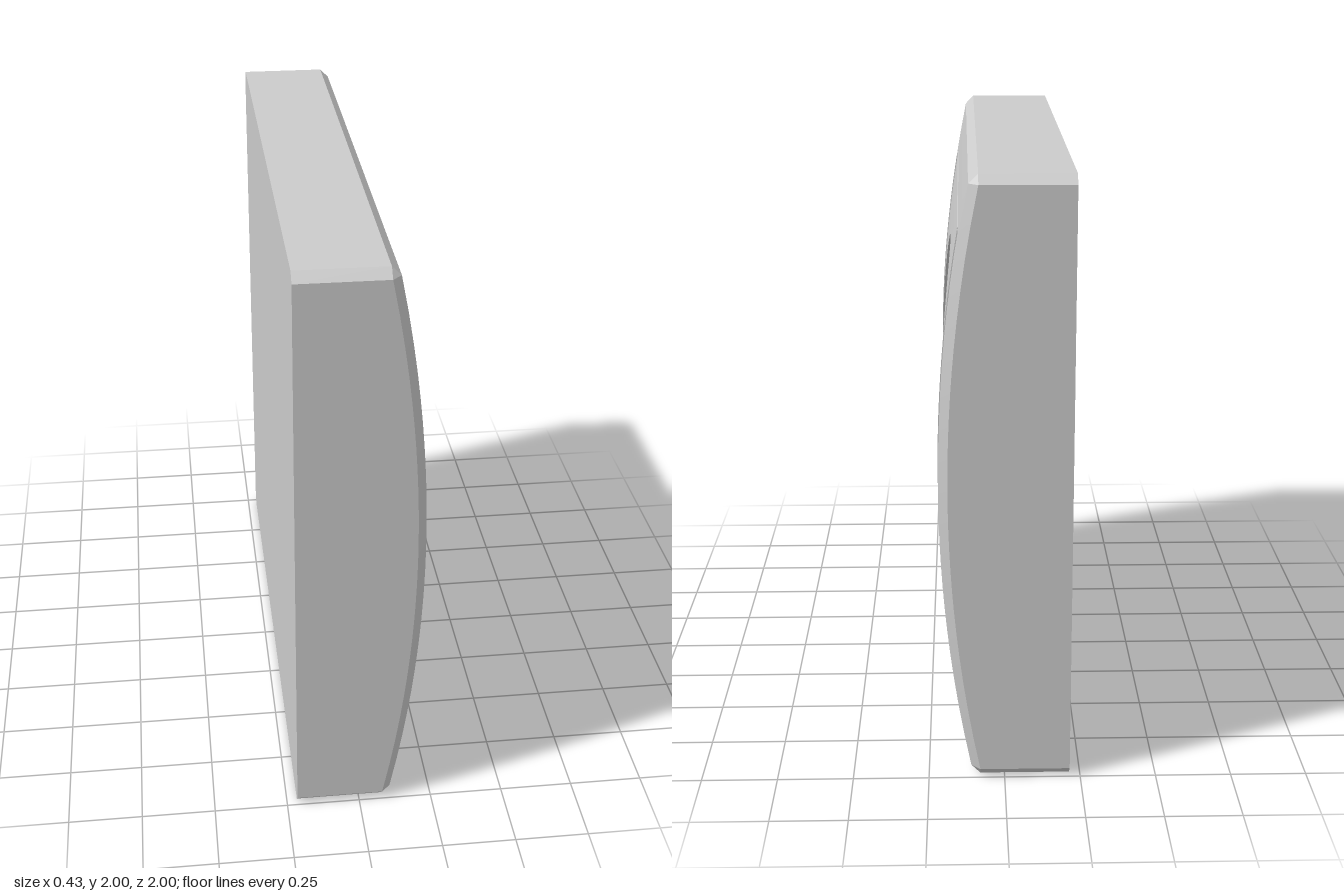
import * as THREE from 'three';
import { toCreasedNormals } from 'three/addons/utils/BufferGeometryUtils.js';

// The socket faces +x. Profiles use u (= -z) across and v (= y - 1) up.
const HALF = 0.97, BEVEL = 0.03, BACK = -0.215;
const RIM = 0.61, WELL = 0.595, LEDGE = 0.09, FLOOR = -0.13;
const PIN_R = 0.085, PIN_DEPTH = 0.05, PINS = [-0.257, 0.236];
const faceX = v => 0.21 - 0.1 * (v / HALF) ** 2;

const material = new THREE.MeshStandardMaterial({ color: 0xcccccc });

function add(group, name, geometry) {
  const mesh = new THREE.Mesh(geometry, material);
  mesh.name = name;
  group.add(mesh);
  return mesh;
}

// Turns a flat or extruded shape so that its front faces +x
function toFace(geometry, x) {
  return geometry.rotateY(Math.PI / 2).translate(x, 1, 0);
}

// One closed skin: recess wall, ledge, curved face, bevel, sides and back
function housingGeometry() {
  const STEPS = 24, base = [];
  for (let side = 0; side < 4; side++) {
    const c = [1, 0, -1, 0][side], s = [0, 1, 0, -1][side];
    for (let i = 0; i <= STEPS; i++) {
      const angle = (i / STEPS - 0.5) * Math.PI / 2;
      const t = HALF * Math.tan(angle);
      const turn = (p, q) => [p * c - q * s, p * s + q * c];
      base.push({
        square: turn(HALF, t),
        outer: turn(HALF + BEVEL, t),
        unit: turn(Math.cos(angle), Math.sin(angle)),
      });
    }
  }
  const point = (x, [u, v]) => [x, v + 1, -u];
  const circle = (r, x) => base.map(b => point(x, b.unit.map(k => k * r)));
  const loops = [circle(WELL, FLOOR), circle(WELL, LEDGE), circle(RIM, LEDGE)];
  for (let k = 0; k <= 6; k++) {
    loops.push(base.map(b => {
      const p = b.unit.map((n, j) => THREE.MathUtils.lerp(n * RIM, b.square[j], k / 6));
      return point(faceX(p[1]), p);
    }));
  }
  loops.push(base.map(b => point(faceX(b.square[1]) - BEVEL, b.outer)));
  loops.push(base.map(b => point(BACK, b.outer)));
  loops.push(base.map(() => [BACK, 1, 0]));

  const positions = [];
  const same = (p, q) => Math.hypot(p[0] - q[0], p[1] - q[1], p[2] - q[2]) < 1e-6;
  const tri = (a, b, c) => {
    if (!same(a, b) && !same(b, c) && !same(c, a)) positions.push(...a, ...b, ...c);
  };
  for (let l = 0; l + 1 < loops.length; l++) {
    const a = loops[l], b = loops[l + 1];
    for (let i = 0; i < base.length; i++) {
      const j = (i + 1) % base.length;
      tri(a[i], b[i], b[j]);
      tri(a[i], b[j], a[j]);
    }
  }
  const geometry = new THREE.BufferGeometry();
  geometry.setAttribute('position', new THREE.Float32BufferAttribute(positions, 3));
  return toCreasedNormals(geometry, 0.4);
}

// Guide block beside the earth-contact slot, filling part of the well
function guideGeometry(su, sv) {
  const r = WELL + 0.002, slot = 0.09, inner = 0.48;
  const a0 = Math.asin(slot / r), a1 = Math.acos(inner / r);
  const points = [new THREE.Vector2(su * inner, sv * slot)];
  for (let i = 0; i <= 10; i++) {
    const a = a0 + (a1 - a0) * i / 10;
    points.push(new THREE.Vector2(su * r * Math.cos(a), sv * r * Math.sin(a)));
  }
  const geometry = new THREE.ExtrudeGeometry(new THREE.Shape(points),
    { depth: LEDGE - FLOOR, bevelEnabled: false });
  return toFace(geometry, FLOOR);
}

// Hairline rib that follows the curve of the face
function ribGeometry(height, width, v, z) {
  const geometry = new THREE.BoxGeometry(0.012, height, width, 1, 24, 1);
  geometry.translate(0, v, z);
  const p = geometry.attributes.position;
  for (let i = 0; i < p.count; i++) {
    p.setX(i, p.getX(i) - 0.003 + faceX(p.getY(i)));
    p.setY(i, p.getY(i) + 1);
  }
  geometry.computeVertexNormals();
  return geometry;
}

export function createModel() {
  const model = new THREE.Group();
  model.name = 'wallSocket';
  add(model, 'housing', housingGeometry());

  // Well floor with two pin holes
  const floor = new THREE.Shape().absarc(0, 0, WELL + 0.002, 0, Math.PI * 2);
  for (const u of PINS) {
    floor.holes.push(new THREE.Path().absarc(u, 0, PIN_R, 0, Math.PI * 2, true));
  }
  add(model, 'wellFloor', toFace(new THREE.ShapeGeometry(floor, 48), FLOOR));

  // Pin hole walls and bottoms
  for (const u of PINS) {
    const wall = new THREE.CylinderGeometry(PIN_R, PIN_R, PIN_DEPTH, 48, 1, true);
    wall.rotateZ(Math.PI / 2).translate(FLOOR - PIN_DEPTH / 2, 1, -u);
    const mesh = add(model, 'pinHoleWall', wall);
    mesh.material = material.clone();
    mesh.material.side = THREE.DoubleSide;
    const bottom = new THREE.CircleGeometry(PIN_R, 48).translate(u, 0, 0);
    add(model, 'pinHoleBottom', toFace(bottom, FLOOR - PIN_DEPTH));
  }

  // Four guide blocks, mirrored both ways
  for (const su of [-1, 1]) {
    for (const sv of [-1, 1]) add(model, 'guideBlock', guideGeometry(su, sv));
  }

  // Fine frame line on the face
  for (const s of [-1, 1]) {
    add(model, 'sideRib', ribGeometry(1.6, 0.004, 0, s * 0.82));
    add(model, 'crossRib', ribGeometry(0.004, 1.58, s * 0.8, 0));
  }
  return model;
}
